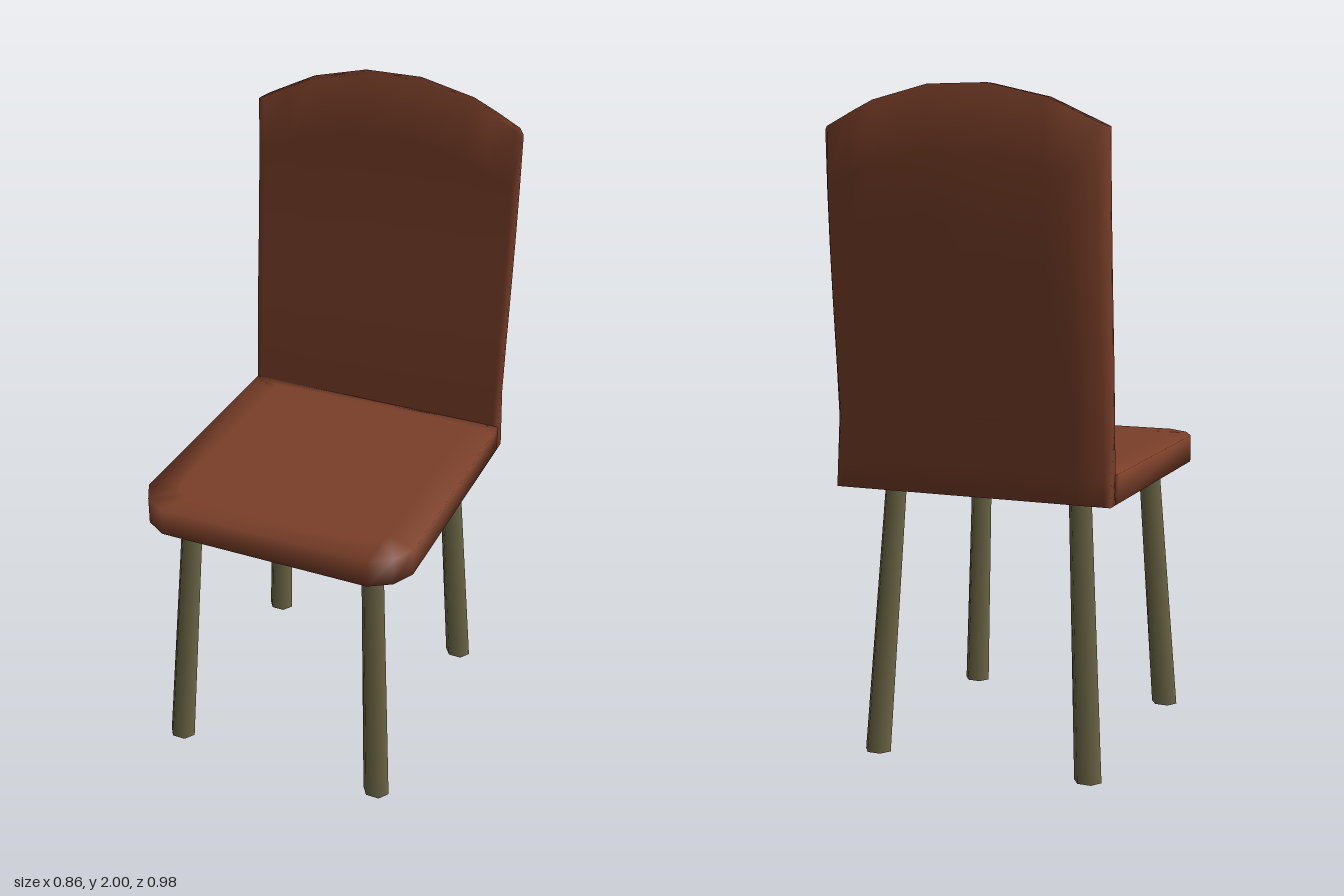
import * as THREE from 'three';

const brown = new THREE.MeshStandardMaterial({ color: 0x7a3f29 });
const olive = new THREE.MeshStandardMaterial({ color: 0x6b6645 });

// Piecewise linear lookup in [[input, output], ...]
function sample(table, v) {
  for (let i = 1; i < table.length; i++) {
    const [a, fa] = table[i - 1], [b, fb] = table[i];
    if (v <= b) return THREE.MathUtils.lerp(fa, fb, THREE.MathUtils.clamp((v - a) / (b - a), 0, 1));
  }
  return table[table.length - 1][1];
}

// Smooth closed skin through rings of points, counterclockwise from above, lowest first.
// Each cap joins point i with point n-1-i.
function loft(rings) {
  const n = rings[0].length, last = (rings.length - 1) * n, index = [];
  for (let r = 0; r < rings.length - 1; r++) {
    for (let i = 0; i < n; i++) {
      const a = r * n + i, b = r * n + (i + 1) % n;
      index.push(a, b, b + n, a, b + n, a + n);
    }
  }
  for (let i = 0; i < n / 2 - 1; i++) {
    const j = n - 1 - i;
    index.push(i, j, j - 1, i, j - 1, i + 1);
    index.push(last + i, last + i + 1, last + j - 1, last + i, last + j - 1, last + j);
  }
  const g = new THREE.BufferGeometry();
  g.setAttribute('position', new THREE.Float32BufferAttribute(rings.flat(2), 3));
  g.setIndex(index);
  g.computeVertexNormals();
  return g;
}

// Seat slab: chamfered front corners, soft shading towards its rim
function seatGeometry() {
  const outer = [[0.43, -0.375], [0.43, -0.33], [0.43, 0.385], [0.395, 0.452], [0.33, 0.492]];
  const inner = [[0.34, -0.34], [0.34, -0.31], [0.34, 0.34], [0.33, 0.375], [0.29, 0.39]];
  const ring = (half, y) => [
    ...half.map(([x, z]) => [-x, y, z]),
    ...half.slice().reverse().map(([x, z]) => [x, y, z]),
  ];
  return loft([ring(inner, 0.835), ring(outer, 0.835), ring(outer, 0.92), ring(inner, 0.92)]);
}

// Backrest: leaning, arched on top, thinning towards its side edges
function backGeometry() {
  const frontZ = [[0.835, -0.368], [0.92, -0.37], [1.2, -0.385], [1.5, -0.41], [1.75, -0.425], [2, -0.435]];
  const depth = [[0.835, 0.044], [0.92, 0.048], [1.25, 0.073], [1.62, 0.075], [1.8, 0.066], [2, 0.047]];
  const topY = [[0.09, 2], [0.26, 1.96], [0.43, 1.88]];
  const fullness = [[0.09, 1], [0.33, 0.9], [0.41, 0.72], [0.43, 0.25]];
  const half = [0.09, 0.26, 0.33, 0.41, 0.43];
  const xs = [...half.map(x => -x).reverse(), ...half];
  const levels = [0, 0.075, 0.2, 0.36, 0.53, 0.68, 0.84, 1];
  const rings = levels.map(t => {
    const point = (x, back) => {
      const ax = Math.abs(x);
      const y = THREE.MathUtils.lerp(0.835, sample(topY, ax), t);
      // the lower edge keeps its full thickness where it meets the seat
      const f = THREE.MathUtils.lerp(1, sample(fullness, ax), Math.min(1, t / 0.2));
      return [x, y, sample(frontZ, y) - (back ? sample(depth, y) * f : 0)];
    };
    return [...xs.map(x => point(x, false)), ...xs.slice().reverse().map(x => point(x, true))];
  });
  return loft(rings);
}

// Six-sided leg, splayed by sliding its vertices between two centres
function legGeometry(top, bottom) {
  const h = 0.845;
  const g = new THREE.CylinderGeometry(0.035, 0.0425, h, 6);
  g.rotateY(Math.PI / 6);
  g.scale(1, 1, 0.84);
  g.translate(0, h / 2, 0);
  const p = g.attributes.position;
  for (let i = 0; i < p.count; i++) {
    const t = p.getY(i) / h;
    p.setX(i, p.getX(i) + THREE.MathUtils.lerp(bottom[0], top[0], t));
    p.setZ(i, p.getZ(i) + THREE.MathUtils.lerp(bottom[1], top[1], t));
  }
  return g;
}

export function createModel() {
  const chair = new THREE.Group();
  chair.name = 'chair';
  const add = (name, geometry, material) => {
    const mesh = new THREE.Mesh(geometry, material);
    mesh.name = name;
    chair.add(mesh);
  };

  add('seat', seatGeometry(), brown);
  add('backrest', backGeometry(), brown);

  for (const [side, s] of [['Left', 1], ['Right', -1]]) {
    add('front' + side + 'Leg', legGeometry([s * 0.295, 0.363], [s * 0.343, 0.42]), olive);
    add('rear' + side + 'Leg', legGeometry([s * 0.295, -0.287], [s * 0.343, -0.34]), olive);
  }
  return chair;
}
